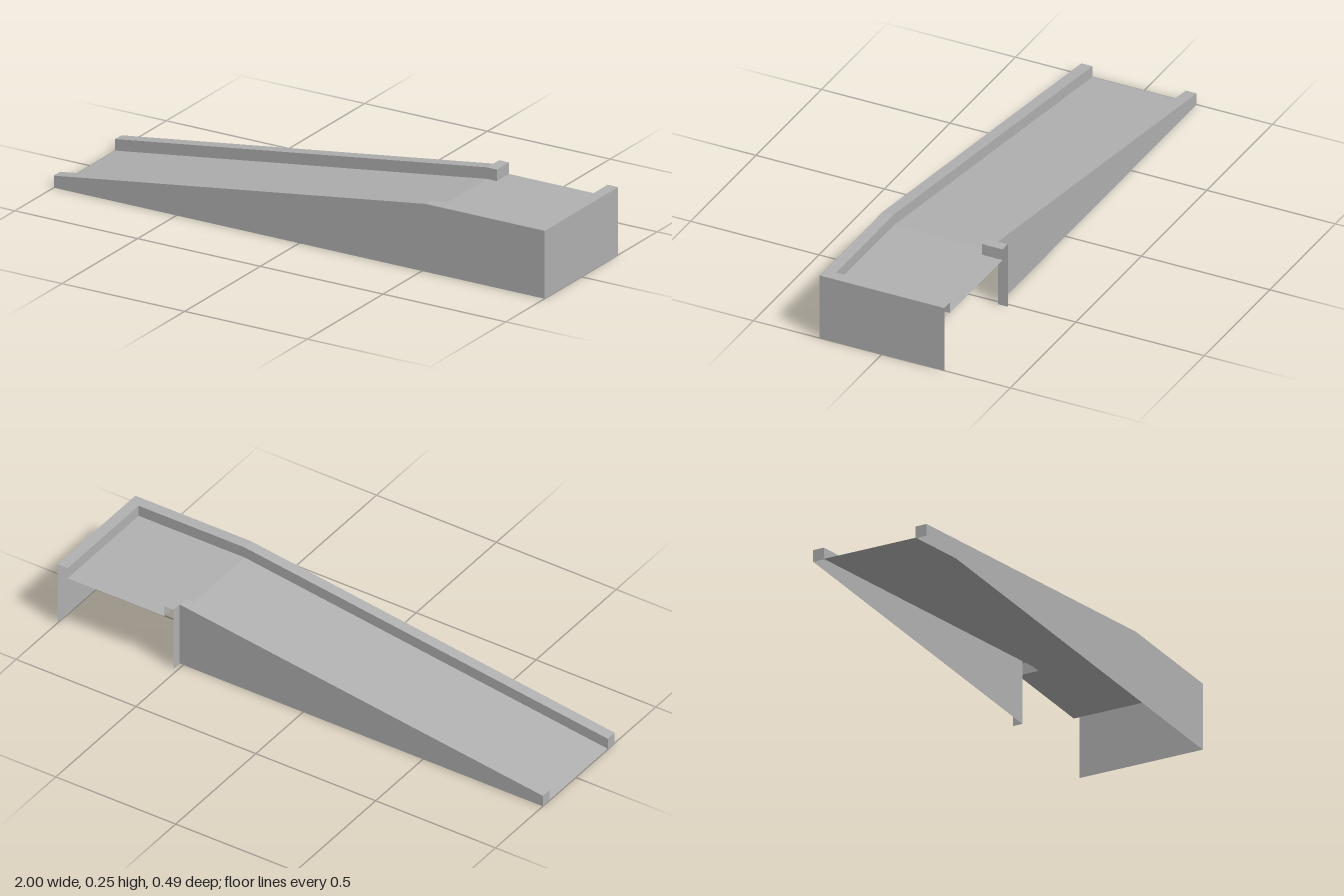
import * as THREE from 'three';

const CREASE = 0.515, LOW = -1, HIGH = 1;      // slope foot, slope top, landing end
const FRONT = 0.243, FRONT_IN = 0.2;           // front curb, outer and inner
const BACK = -0.205, BACK_IN = -0.163;         // back curb, outer and inner
const LANDING_BACK = -0.243, POST_IN = 0.555, END_IN = 0.957;
const CURB = 0.043;

// Heights along the ramp: sloping, then level
const top = (x) => (x >= CREASE ? 0.253 : 0.045 + ((x - LOW) / (CREASE - LOW)) * 0.208);
const deck = (x) => top(x) - CURB;
const ground = () => 0;

// Upright panel from a to b, facing the right-hand side of its travel
const wall = (ax, az, bx, bz, lo, hi) => [
  [ax, lo(ax), az], [bx, lo(bx), bz], [bx, hi(bx), bz], [ax, hi(ax), az],
];

// Upward-facing panel that follows a height rule
const slab = (x0, x1, z0, z1, h) => [
  [x0, h(x0), z1], [x1, h(x1), z1], [x1, h(x1), z0], [x0, h(x0), z0],
];

export function createModel() {
  const model = new THREE.Group();
  model.name = 'ramp';
  const concrete = new THREE.MeshStandardMaterial({ color: 0xb0b0b0, side: THREE.DoubleSide });
  concrete.name = 'concrete grey';

  const add = (name, quads) => {
    const points = quads.flatMap(([a, b, c, d]) => [a, b, c, a, c, d]).flat();
    const geometry = new THREE.BufferGeometry();
    geometry.setAttribute('position', new THREE.Float32BufferAttribute(points, 3));
    geometry.computeVertexNormals();
    const mesh = new THREE.Mesh(geometry, concrete);
    mesh.name = name;
    model.add(mesh);
  };

  // Walking surface: slope and level landing, open to the back
  add('slopeDeck', [slab(LOW, CREASE, BACK_IN, FRONT_IN, deck)]);
  add('landingDeck', [
    slab(CREASE, POST_IN, BACK_IN, FRONT_IN, deck),
    slab(POST_IN, END_IN, LANDING_BACK, FRONT_IN, deck),
  ]);

  // Outer skirt walls down to the ground
  add('frontWall', [
    wall(LOW, FRONT, CREASE, FRONT, ground, top),
    wall(CREASE, FRONT, HIGH, FRONT, ground, top),
  ]);
  add('endWall', [wall(HIGH, FRONT, HIGH, LANDING_BACK, ground, top)]);
  add('backWall', [wall(CREASE, BACK, LOW, BACK, ground, top)]);
  add('backReturnWall', [wall(CREASE, LANDING_BACK, CREASE, BACK, ground, top)]);

  // Hollow curb along the front and the landing end
  add('frontCurb', [
    slab(LOW, CREASE, FRONT_IN, FRONT, top),
    slab(CREASE, HIGH, FRONT_IN, FRONT, top),
    wall(CREASE, FRONT_IN, LOW, FRONT_IN, deck, top),
    wall(END_IN, FRONT_IN, CREASE, FRONT_IN, deck, top),
    wall(LOW, FRONT_IN, LOW, FRONT, ground, top),
  ]);
  add('endCurb', [
    slab(END_IN, HIGH, LANDING_BACK, FRONT_IN, top),
    wall(END_IN, LANDING_BACK, END_IN, FRONT_IN, deck, top),
  ]);

  // Hollow curb along the back, turning outward at the landing
  add('backCurb', [
    slab(LOW, CREASE, BACK, BACK_IN, top),
    slab(CREASE, POST_IN, LANDING_BACK, BACK_IN, top),
    wall(LOW, BACK_IN, CREASE, BACK_IN, deck, top),
    wall(CREASE, BACK_IN, POST_IN, BACK_IN, deck, top),
    wall(POST_IN, BACK_IN, POST_IN, LANDING_BACK, deck, top),
    wall(LOW, BACK, LOW, BACK_IN, ground, top),
  ]);

  return model;
}
